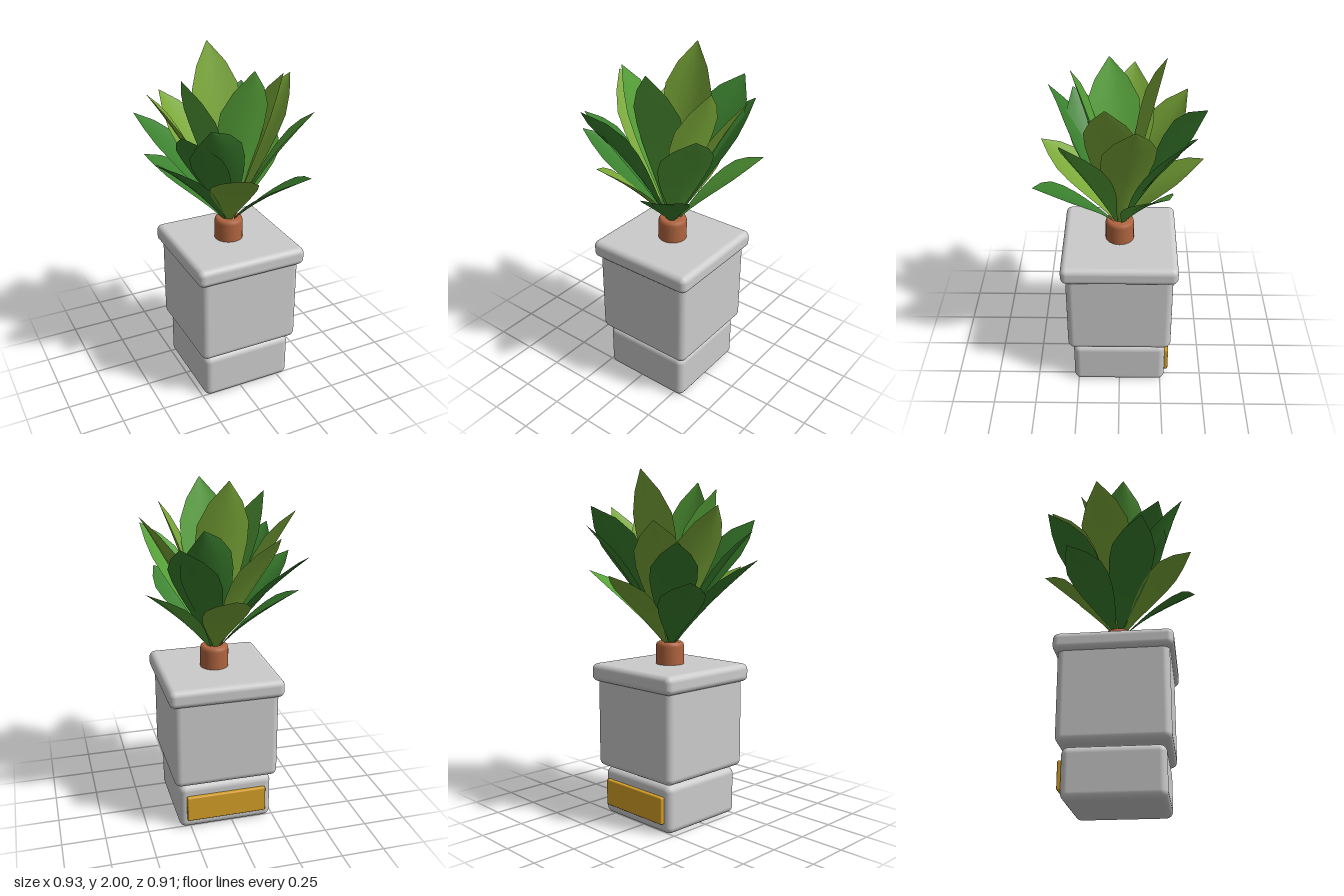
import * as THREE from 'three';
import { RoundedBoxGeometry } from 'three/addons/geometries/RoundedBoxGeometry.js';

const CX = 0.04; // pot and trunk axis
const greens = [0x7aa838, 0x55a038, 0x3a802e].map(
  (color) => new THREE.MeshStandardMaterial({ color, side: THREE.DoubleSide }));

// Leaf outline: half width along its length, as a share of the widest point
const outline = [0.05, 0.22, 0.45, 0.68, 0.87, 0.99, 0.97, 0.62, 0.02];

// A blade from the trunk to its tip, bending outwards and slightly cupped
function leafGeometry([x, y, z], halfWidth, twist) {
  const dir = new THREE.Vector3(x - CX, 0, z).normalize();
  const base = new THREE.Vector3(CX, 1.01, 0).addScaledVector(dir, 0.025);
  const tip = new THREE.Vector3(x, y, z);
  const bend = base.clone().lerp(tip, 0.36);
  bend.y = base.y + (tip.y - base.y) * 0.52;
  const spine = new THREE.QuadraticBezierCurve3(base, bend, tip);
  const rows = outline.length - 1, cols = 4;
  const geo = new THREE.PlaneGeometry(1, 1, cols, rows);
  const pos = geo.attributes.position;
  const side = new THREE.Vector3(), up = new THREE.Vector3(), p = new THREE.Vector3();
  for (let r = 0; r <= rows; r++) {
    const t = r / rows;
    const tangent = spine.getTangent(t);
    side.set(dir.z, 0, -dir.x).applyAxisAngle(tangent, twist * t);
    up.crossVectors(side, tangent).normalize();
    if (up.y < 0) up.negate();
    for (let c = 0; c <= cols; c++) {
      const u = (c / cols) * 2 - 1;
      const w = halfWidth * outline[r];
      spine.getPoint(t, p).addScaledVector(side, u * w).addScaledVector(up, u * u * w * 0.18);
      pos.setXYZ(r * (cols + 1) + c, p.x, p.y, p.z);
    }
  }
  geo.computeVertexNormals();
  return geo;
}

// Leaf rings: tip position, then colour index and optional twist
const rings = [
  { name: 'innerLeaf', width: 0.15, leaves: [
    [[0.06, 1.95, 0.25], 1], [[0.02, 2.0, -0.24], 0],
    [[0.33, 1.86, 0.07], 0], [[-0.26, 1.89, 0.06], 1]] },
  { name: 'middleLeaf', width: 0.145, leaves: [
    [[0.46, 1.81, -0.08], 0], [[-0.4, 1.8, -0.08], 0],
    [[-0.25, 1.73, 0.4], 2, 0.6], [[0.2, 1.8, -0.44], 2, 0.6],
    [[-0.22, 1.72, -0.37], 0], [[0.4, 1.7, 0.29], 1],
    [[0.31, 1.7, -0.39], 2], [[-0.35, 1.67, 0.27], 2]] },
  { name: 'lowerLeaf', width: 0.13, leaves: [
    [[0.465, 1.44, -0.25], 1], [[0.3, 1.4, 0.45], 2],
    [[-0.12, 1.46, 0.44], 0], [[-0.46, 1.51, 0.18], 2],
    [[-0.37, 1.4, -0.25], 2], [[-0.38, 1.61, -0.36], 2],
    [[0.04, 1.43, -0.455], 0]] },
];

export function createModel() {
  const model = new THREE.Group();
  const grey = new THREE.MeshStandardMaterial({ color: 0xcccccc });
  const bark = new THREE.MeshStandardMaterial({ color: 0xb0643f });
  const gold = new THREE.MeshStandardMaterial({ color: 0xd69f28 });

  const block = (name, w, y0, y1, d, z, radius, material) => {
    const mesh = new THREE.Mesh(new RoundedBoxGeometry(w, y1 - y0, d, 4, radius), material);
    mesh.name = name;
    mesh.position.set(CX, (y0 + y1) / 2, z);
    model.add(mesh);
  };

  // Square pot in three rounded tiers
  block('potBase', 0.55, 0, 0.28, 0.55, 0, 0.04, grey);
  block('potBody', 0.61, 0.29, 0.85, 0.61, 0, 0.04, grey);
  block('potRim', 0.66, 0.8, 0.905, 0.66, 0, 0.035, grey);
  block('backPlate', 0.47, 0.06, 0.215, 0.04, -0.277, 0.008, gold);

  // Short trunk with a softened top edge
  const profile = [[0.082, 0.89], [0.082, 1.01], [0.078, 1.027], [0.066, 1.035], [0, 1.035]]
    .map(([r, y]) => new THREE.Vector2(r, y));
  const trunk = new THREE.Mesh(new THREE.LatheGeometry(profile, 24), bark);
  trunk.name = 'trunk';
  trunk.position.x = CX;
  model.add(trunk);

  // Leaf crown
  const crown = new THREE.Group();
  crown.name = 'leafCrown';
  for (const { name, width, leaves } of rings) {
    for (const [tip, colour, twist = 0] of leaves) {
      const leaf = new THREE.Mesh(leafGeometry(tip, width, twist), greens[colour]);
      leaf.name = name;
      crown.add(leaf);
    }
  }
  model.add(crown);
  return model;
}
